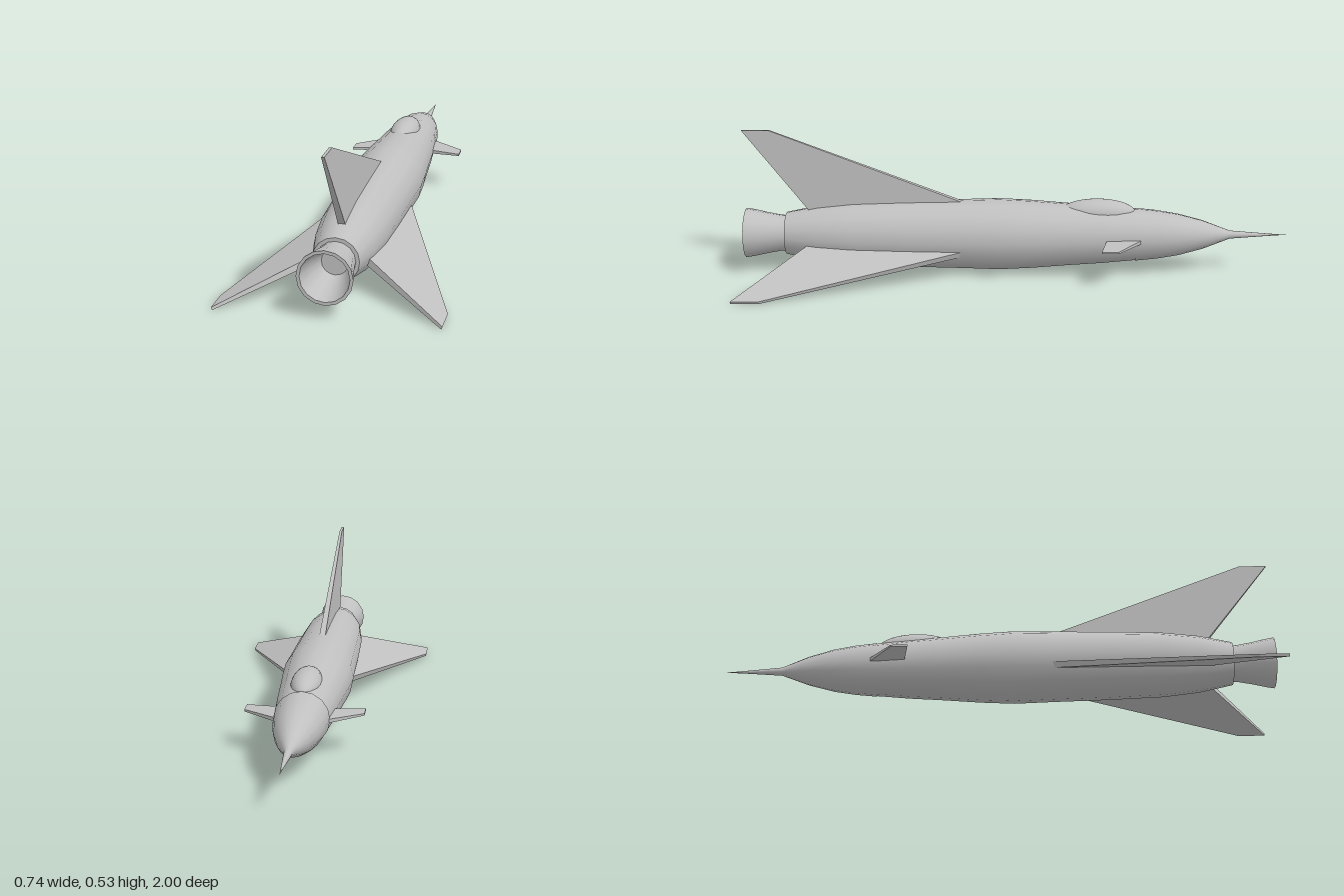
import * as THREE from 'three';

export function createModel() {
  const model = new THREE.Group();
  const grey = new THREE.MeshStandardMaterial({ color: 0xc0c0c0 });
  grey.name = 'grey';
  const AXIS_Y = 0.14;

  // Everything is built around the long axis, then lifted to its height
  function add(name, geometry, parent = model) {
    const mesh = new THREE.Mesh(geometry, grey);
    mesh.name = name;
    mesh.position.y = AXIS_Y;
    parent.add(mesh);
    return mesh;
  }

  // Round part turned about the z axis; profile holds [radius, z] pairs
  function turned(name, profile, parent) {
    const points = profile.map(([r, z]) => new THREE.Vector2(r, z));
    return add(name, new THREE.LatheGeometry(points, 16).rotateX(Math.PI / 2), parent);
  }

  // Tapered fin pointing up; each end is { r, front, back, t }
  function fin(name, root, tip, angle) {
    const g = new THREE.BoxGeometry(1, 1, 1);
    const p = g.attributes.position;
    for (let i = 0; i < p.count; i++) {
      const end = p.getY(i) > 0 ? tip : root;
      p.setXYZ(i, p.getX(i) * end.t, end.r, p.getZ(i) > 0 ? end.back : end.front);
    }
    g.computeVertexNormals();
    return add(name, g.rotateZ(angle));
  }

  // Nose with its long probe
  turned('nose', [
    [0, -1], [0.006, -0.91], [0.015, -0.79], [0.034, -0.74],
    [0.053, -0.69], [0.077, -0.6], [0.09, -0.52], [0.098, -0.44],
  ]);

  // Fuselage and its flat tail end
  turned('fuselage', [
    [0.095, -0.45], [0.107, -0.32], [0.115, -0.2], [0.126, -0.06], [0.132, 0.06],
    [0.128, 0.2], [0.124, 0.4], [0.117, 0.6], [0.103, 0.73], [0.078, 0.85],
  ]);
  turned('tailEnd', [[0.078, 0.85], [0.045, 0.85]]);

  // Hollow exhaust nozzle
  const nozzle = new THREE.Group();
  nozzle.name = 'nozzle';
  model.add(nozzle);
  turned('nozzleShell', [[0.064, 0.83], [0.067, 0.87], [0.076, 0.92], [0.087, 0.97], [0.092, 1]], nozzle);
  turned('nozzleRim', [[0.092, 1], [0.081, 1]], nozzle);
  turned('nozzleBore', [[0.081, 1], [0.066, 0.93], [0.045, 0.86]], nozzle);
  turned('nozzleBack', [[0.046, 0.86], [0, 0.86]], nozzle);

  // Canopy bubble
  const canopy = add('canopy', new THREE.SphereGeometry(1, 24, 16));
  canopy.scale.set(0.054, 0.05, 0.14);
  canopy.position.set(0, 0.225, -0.3);

  // Three swept tail fins
  const finRoot = { r: 0.06, front: 0.03, back: 0.74, t: 0.026 };
  const finTip = { r: 0.393, front: 0.9, back: 1, t: 0.01 };
  const spread = THREE.MathUtils.degToRad(110);
  fin('topFin', finRoot, finTip, 0);
  fin('leftWing', finRoot, finTip, -spread);
  fin('rightWing', finRoot, finTip, spread);

  // Small foreplanes beside the canopy
  const foreRoot = { r: 0.07, front: -0.475, back: -0.337, t: 0.015 };
  const foreTip = { r: 0.21, front: -0.37, back: -0.31, t: 0.007 };
  fin('leftForeplane', foreRoot, foreTip, -Math.PI / 2);
  fin('rightForeplane', foreRoot, foreTip, Math.PI / 2);

  return model;
}
